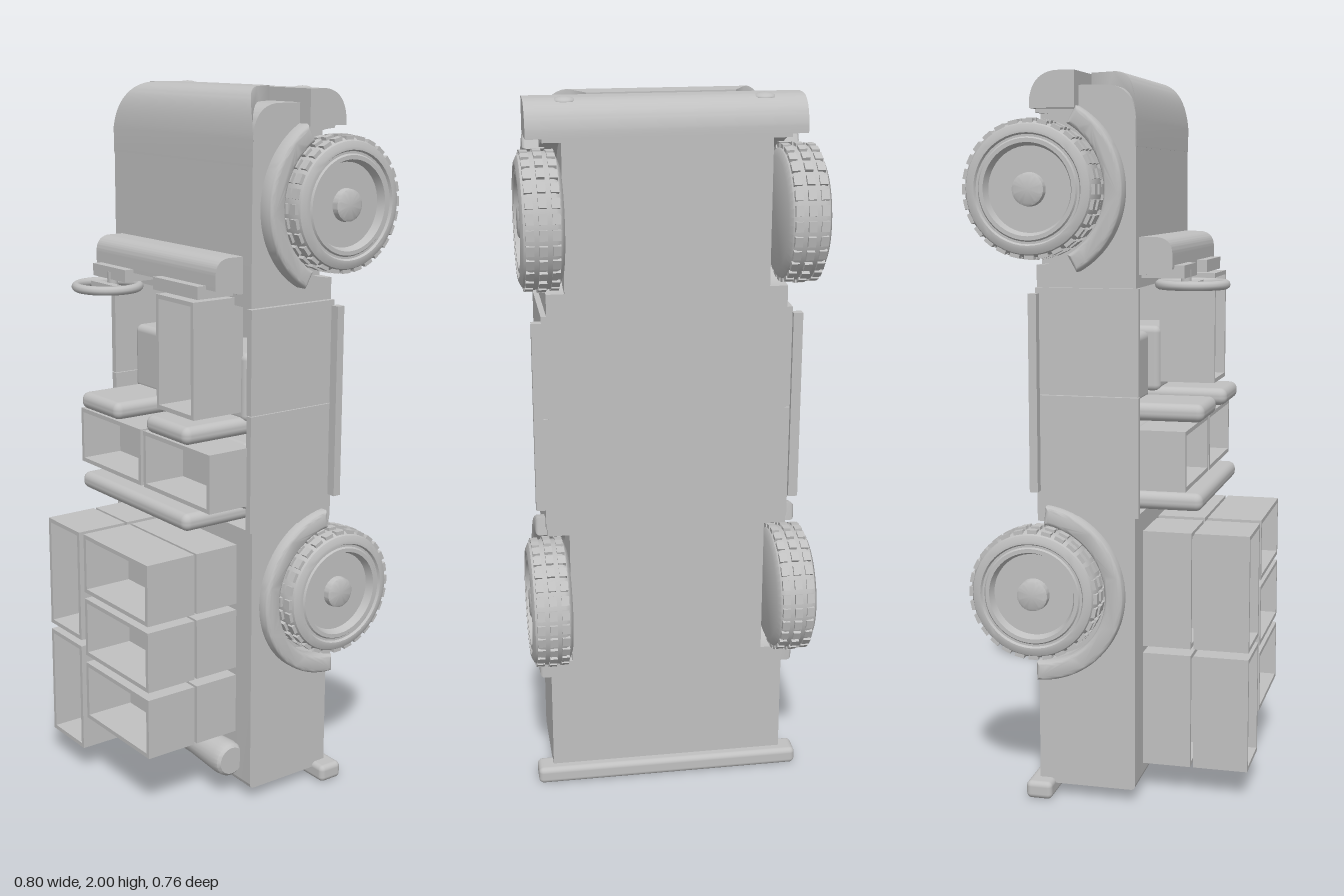
import * as THREE from 'three';
import { mergeGeometries, toCreasedNormals } from 'three/addons/utils/BufferGeometryUtils.js';
import { RoundedBoxGeometry } from 'three/addons/geometries/RoundedBoxGeometry.js';

export function createModel() {
  const model = new THREE.Group();
  model.name = 'uprightTruck';
  const grey = new THREE.MeshStandardMaterial({ color: 0xc0c0c0 });
  grey.name = 'grey';

  function add(name, geometry, parent = model) {
    const mesh = new THREE.Mesh(geometry, grey);
    mesh.name = name;
    parent.add(mesh);
    return mesh;
  }
  // Box between two corners, optionally rounded
  function boxGeo(x0, x1, y0, y1, z0, z1, r = 0) {
    const s = [x1 - x0, y1 - y0, z1 - z0];
    const g = r ? new RoundedBoxGeometry(...s, 4, r) : new THREE.BoxGeometry(...s);
    return g.translate((x0 + x1) / 2, (y0 + y1) / 2, (z0 + z1) / 2);
  }
  const box = (name, ...a) => add(name, boxGeo(...a));
  // Side profile drawn in (z, y), extruded from x0 to x1
  function side(shape, x0, x1, bevel = 0) {
    const g = new THREE.ExtrudeGeometry(shape, {
      depth: x1 - x0 - 2 * bevel, curveSegments: 20, bevelEnabled: bevel > 0,
      bevelSize: bevel, bevelThickness: bevel, bevelOffset: -bevel, bevelSegments: 4,
    });
    return toCreasedNormals(g.rotateY(-Math.PI / 2).translate(x1 - bevel, 0, 0), 0.6);
  }

  const BOTTOM = -0.19, TOP = 0.085, AXLES = [0.59, 1.69];

  // Bodywork profiles; the outer strips have wheel arches cut out
  function frontProfile(arch) {
    const s = new THREE.Shape();
    s.moveTo(BOTTOM, 1.43);
    if (arch) {
      s.lineTo(BOTTOM, 1.49);
      s.absarc(BOTTOM, 1.69, 0.2, -Math.PI / 2, Math.PI / 2, false);
    }
    s.lineTo(BOTTOM, 1.9);
    s.lineTo(-0.07, 1.9);
    s.lineTo(-0.07, 1.96);
    s.lineTo(0.0, 1.96);
    s.bezierCurveTo(0.05, 1.96, TOP, 1.93, TOP, 1.86);
    s.lineTo(TOP, 1.43);
    return s;
  }
  function rearProfile(arch) {
    const s = new THREE.Shape();
    s.moveTo(BOTTOM, 0.035);
    if (arch) {
      s.lineTo(BOTTOM, 0.39);
      s.absarc(BOTTOM, 0.59, 0.2, -Math.PI / 2, Math.PI / 2, false);
    }
    s.lineTo(BOTTOM, 0.81);
    s.lineTo(TOP, 0.81);
    s.lineTo(TOP, 0.05);
    s.quadraticCurveTo(TOP, 0.035, 0.07, 0.035);
    return s;
  }
  add('frontBody', side(frontProfile(false), -0.28, 0.28));
  add('rearBed', side(rearProfile(false), -0.28, 0.28));
  for (const [x0, x1, xr] of [[0.28, 0.33, 0.342], [-0.33, -0.28, -0.342]]) {
    add('frontSide', side(frontProfile(true), x0, x1));
    add('rearSide', side(rearProfile(true), Math.min(x0, xr), Math.max(x1, xr)));
  }

  // Raised hood nose, narrowing towards the grille
  const nose = new THREE.Shape();
  nose.moveTo(-0.07, 1.8);
  nose.lineTo(-0.07, 2.0);
  nose.lineTo(0.0, 2.0);
  nose.bezierCurveTo(0.05, 2.0, 0.08, 1.97, TOP + 0.001, 1.87);
  nose.lineTo(TOP + 0.001, 1.8);
  nose.closePath();
  const noseGeo = side(nose, -1, 1), np = noseGeo.attributes.position;
  for (let i = 0; i < np.count; i++) {
    const t = Math.max(0, (np.getZ(i) + 0.07) / 0.155);
    np.setX(i, np.getX(i) * (0.2 + 0.08 * t + 0.05 * t ** 5));
  }
  add('hoodNose', toCreasedNormals(noseGeo, 0.6));

  // Front bumper with two round lamps
  const bump = new THREE.Shape();
  bump.moveTo(-0.07, 1.9);
  bump.lineTo(-0.07, 1.996);
  bump.lineTo(-0.12, 1.996);
  bump.quadraticCurveTo(-0.185, 1.99, -0.193, 1.92);
  bump.lineTo(-0.193, 1.9);
  add('frontBumper', side(bump, -0.373, 0.373));
  for (const x of [-0.265, 0.265]) {
    add('headlamp', new THREE.SphereGeometry(0.03, 24, 8, 0, Math.PI * 2, 0, Math.PI / 2)
      .scale(1, 0.4, 1).translate(x, 1.988, -0.13));
  }

  // Rear bumper and tail lamps
  box('rearBumper', -0.388, 0.388, 0, 0.05, -0.22, -0.145, 0.015);
  for (const x of [-0.235, 0.235]) box('tailLamp', x - 0.04, x + 0.04, 0.015, 0.05, -0.1, 0.015, 0.006);

  // Flared arches, door panels and sills on both sides
  const arcBand = (cy, a0, a1) => {
    const s = new THREE.Shape();
    s.absarc(BOTTOM, cy, 0.248, a0, a1, false);
    s.absarc(BOTTOM, cy, 0.196, a1, a0, true);
    return s;
  };
  for (const m of [1, -1]) {
    const span = (a, b) => (m > 0 ? [a, b] : [-b, -a]);
    add('rearArch', side(arcBand(0.59, -Math.PI / 2, 1.45), ...span(0.32, 0.374), 0.012));
    add('frontArch', side(arcBand(1.69, -1.06, 1.06), ...span(0.31, 0.374), 0.012));
    box('lowerDoor', ...span(0.325, 0.345), 0.81, 1.139, BOTTOM, 0.095);
    box('upperDoor', ...span(0.325, 0.345), 1.141, 1.43, BOTTOM, 0.095);
    box('sill', ...span(0.345, 0.372), 0.875, 1.415, -0.203, -0.18);
  }

  // Cabin floor, seats and dashboard
  box('cabinFloor', -0.33, 0.33, 0.8, 1.44, BOTTOM, -0.1);
  box('benchCushion', -0.3, 0.3, 0.86, 1.05, -0.1, 0.08, 0.02);
  box('benchBack', -0.275, 0.265, 0.82, 0.87, -0.05, 0.255, 0.022);
  for (const x of [-0.17, 0.17]) {
    box('seatCushion', x - 0.105, x + 0.105, 1.1, 1.295, -0.1, 0.06, 0.02);
    box('seatBack', x - 0.1, x + 0.1, 1.065, 1.115, -0.05, 0.257, 0.022);
  }
  const cowl = new THREE.Shape();
  cowl.moveTo(0.07, 1.465);
  cowl.lineTo(0.07, 1.565);
  cowl.lineTo(0.135, 1.565);
  cowl.quadraticCurveTo(0.175, 1.56, 0.175, 1.52);
  cowl.lineTo(0.175, 1.48);
  cowl.quadraticCurveTo(0.13, 1.475, 0.1, 1.465);
  add('cowl', side(cowl, -0.295, 0.293));
  box('driverDash', -0.27, -0.1, 1.455, 1.49, 0.08, 0.203);
  box('passengerDash', 0.04, 0.25, 1.455, 1.49, 0.08, 0.203);
  add('steeringWheel', new THREE.TorusGeometry(0.09, 0.013, 10, 40)
    .rotateX(Math.PI / 2).translate(-0.185, 1.435, 0.208));
  box('steeringSpoke', -0.245, -0.125, 1.428, 1.444, 0.2, 0.226);
  add('steeringColumn', new THREE.CylinderGeometry(0.015, 0.015, 0.04, 12).translate(-0.185, 1.455, 0.19));

  // Open crates: a base plate and four thin walls
  function crate(x0, x1, y0, y1, z0, z1) {
    const t = 0.012;
    add('crate', mergeGeometries([
      boxGeo(x0, x1, y0, y1, z0, z0 + t),
      boxGeo(x0, x0 + t, y0, y1, z0, z1),
      boxGeo(x1 - t, x1, y0, y1, z0, z1),
      boxGeo(x0, x1, y0, y0 + t, z0, z1),
      boxGeo(x0, x1, y1 - t, y1, z0, z1),
    ]));
  }
  crate(-0.325, -0.004, 0.885, 1.05, 0.08, 0.22);
  crate(0.01, 0.328, 0.885, 1.05, 0.08, 0.22);
  crate(0.08, 0.255, 1.13, 1.45, 0.055, 0.22);
  for (const [z0, z1] of [[0.085, 0.222], [0.23, 0.385]]) {
    crate(-0.25, -0.078, 0.425, 0.755, z0, z1);
    crate(-0.25, -0.078, 0.08, 0.405, z0, z1);
    for (const y of [0.19, 0.388, 0.582]) crate(-0.054, 0.272, y, y + 0.175, z0, z1);
  }

  // Rolled bag lying across the rear of the bed
  add('rolledBag', toCreasedNormals(new THREE.LatheGeometry([
    [0, -0.16], [0.036, -0.16], [0.042, -0.15], [0.043, 0], [0.051, 0.13], [0.048, 0.155], [0.04, 0.163], [0, 0.163],
  ].map(([r, y]) => new THREE.Vector2(r, y)), 24).rotateZ(-Math.PI / 2), 0.7)).position.set(0.13, 0.112, 0.113);

  // Wheels: tyre, stepped rim and hub turned about the axle, plus tread blocks
  const wheelGeo = toCreasedNormals(new THREE.LatheGeometry([
    [0, -0.057], [0.15, -0.057], [0.17, -0.048], [0.178, -0.035], [0.178, 0.035], [0.17, 0.05],
    [0.155, 0.057], [0.147, 0.057], [0.143, 0.05], [0.137, 0.05], [0.133, 0.055], [0.122, 0.055],
    [0.114, 0.032], [0.045, 0.032], [0.043, 0.05], [0.036, 0.054], [0, 0.054],
  ].map(([r, y]) => new THREE.Vector2(r, y)), 48).rotateZ(-Math.PI / 2), 0.6);
  const blocks = [];
  for (let i = 0; i < 28; i++) {
    for (const x of [-0.034, 0, 0.034]) {
      blocks.push(new THREE.BoxGeometry(0.021, 0.016, 0.027)
        .translate(x, x ? 0.175 : 0.178, 0).rotateX((i / 28) * Math.PI * 2));
    }
  }
  const treadGeo = mergeGeometries(blocks);
  for (const y of AXLES) {
    for (const m of [1, -1]) {
      const wheel = new THREE.Group();
      wheel.name = 'wheel';
      add('tyreAndRim', wheelGeo, wheel);
      add('tread', treadGeo, wheel);
      wheel.position.set(m * 0.345, y, BOTTOM - 0.003);
      if (m < 0) wheel.rotation.y = Math.PI;
      model.add(wheel);
    }
  }
  return model;
}
